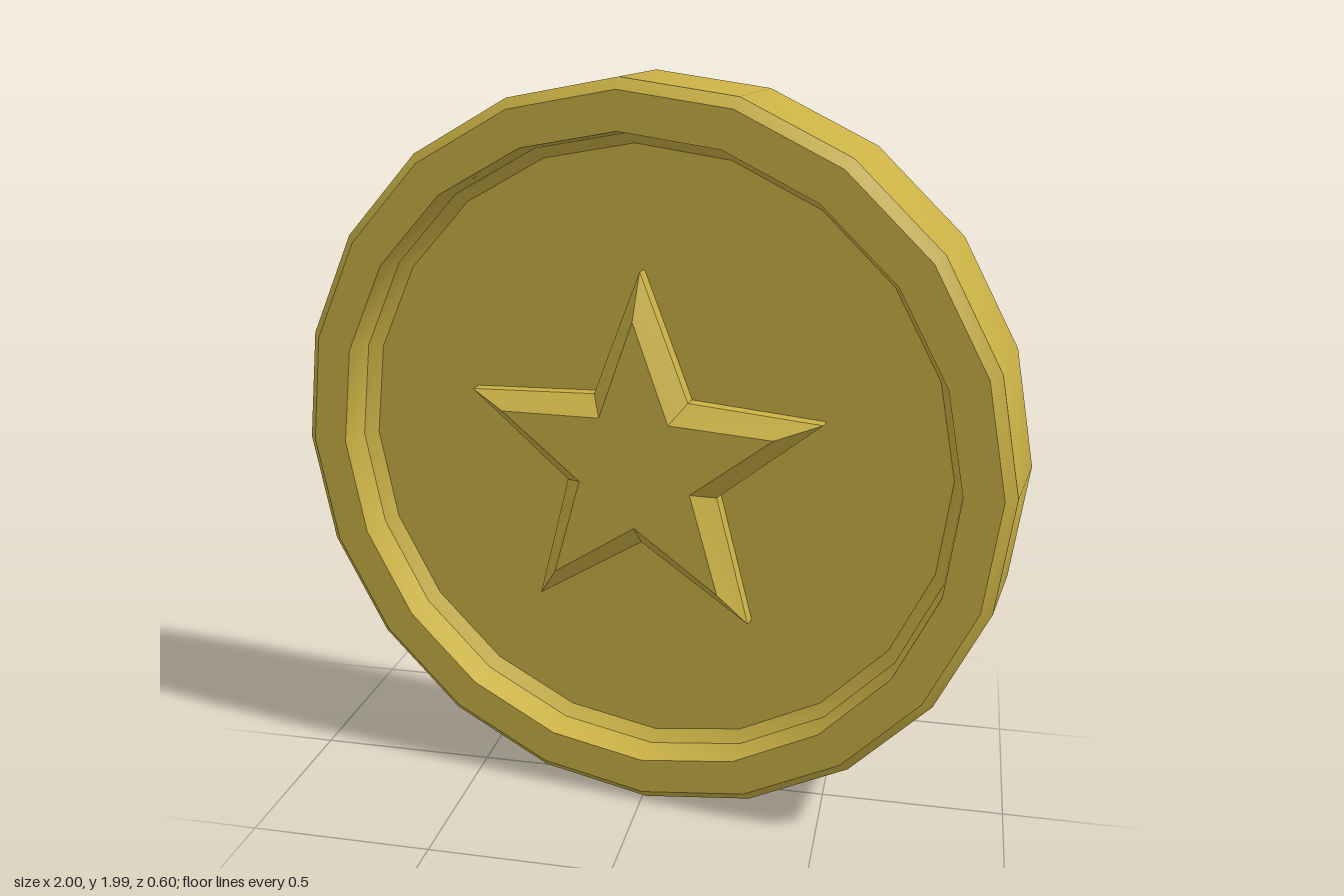
import * as THREE from 'three';
import { toCreasedNormals } from 'three/addons/utils/BufferGeometryUtils.js';

// Raised star: vertical wall, then a bevel up to a flat cap.
// Each section is [tip radius, notch radius, height].
function starGeometry(sections) {
  const n = 10;
  const pos = [];
  const index = [];
  for (const [tip, notch, h] of sections) {
    for (let i = 0; i < n; i++) {
      const a = Math.PI / 2 + (i * Math.PI * 2) / n;
      const r = i % 2 ? notch : tip;
      pos.push(r * Math.cos(a), r * Math.sin(a), h);
    }
  }
  const last = (sections.length - 1) * n;
  pos.push(0, 0, sections[sections.length - 1][2]);
  for (let i = 0; i < n; i++) {
    const j = (i + 1) % n;
    for (let k = 0; k < last; k += n) {
      index.push(k + i, k + j, k + n + j, k + i, k + n + j, k + n + i);
    }
    index.push(last + i, last + j, last + n);
  }
  const geo = new THREE.BufferGeometry();
  geo.setAttribute('position', new THREE.Float32BufferAttribute(pos, 3));
  geo.setIndex(index);
  return toCreasedNormals(geo, 0.2);
}

export function createModel() {
  const model = new THREE.Group();
  model.name = 'coin';
  const gold = new THREE.MeshStandardMaterial({ color: 0xc9b045 });

  // Disc with chamfered rim and a recess on both faces, from back to front
  const profile = [
    [0, -0.04], [0.85, -0.04], [0.865, -0.155], [0.965, -0.155], [0.993, -0.13],
    [0.993, 0.13], [0.965, 0.155], [0.865, 0.155], [0.855, 0.07], [0.825, 0.04], [0, 0.04],
  ].map(([r, h]) => new THREE.Vector2(r, h));
  const discGeo = new THREE.LatheGeometry(profile, 20);
  discGeo.rotateX(Math.PI / 2);
  discGeo.rotateZ(0.03);
  const disc = new THREE.Mesh(toCreasedNormals(discGeo, 0.45), gold);
  disc.name = 'disc';
  model.add(disc);

  // The same star on the front and the back
  const starGeo = starGeometry([
    [0.52, 0.225, 0.035], [0.52, 0.225, 0.075], [0.4, 0.165, 0.13],
  ]);
  ['frontStar', 'backStar'].forEach((name, i) => {
    const star = new THREE.Mesh(starGeo, gold);
    star.name = name;
    star.position.y = -0.015;
    star.rotation.y = i * Math.PI;
    model.add(star);
  });

  // The coin is caught slightly turned, mid-spin
  model.rotation.set(0.02, -0.154, 0);
  model.position.y = 0.995;

  const root = new THREE.Group();
  root.add(model);
  return root;
}
